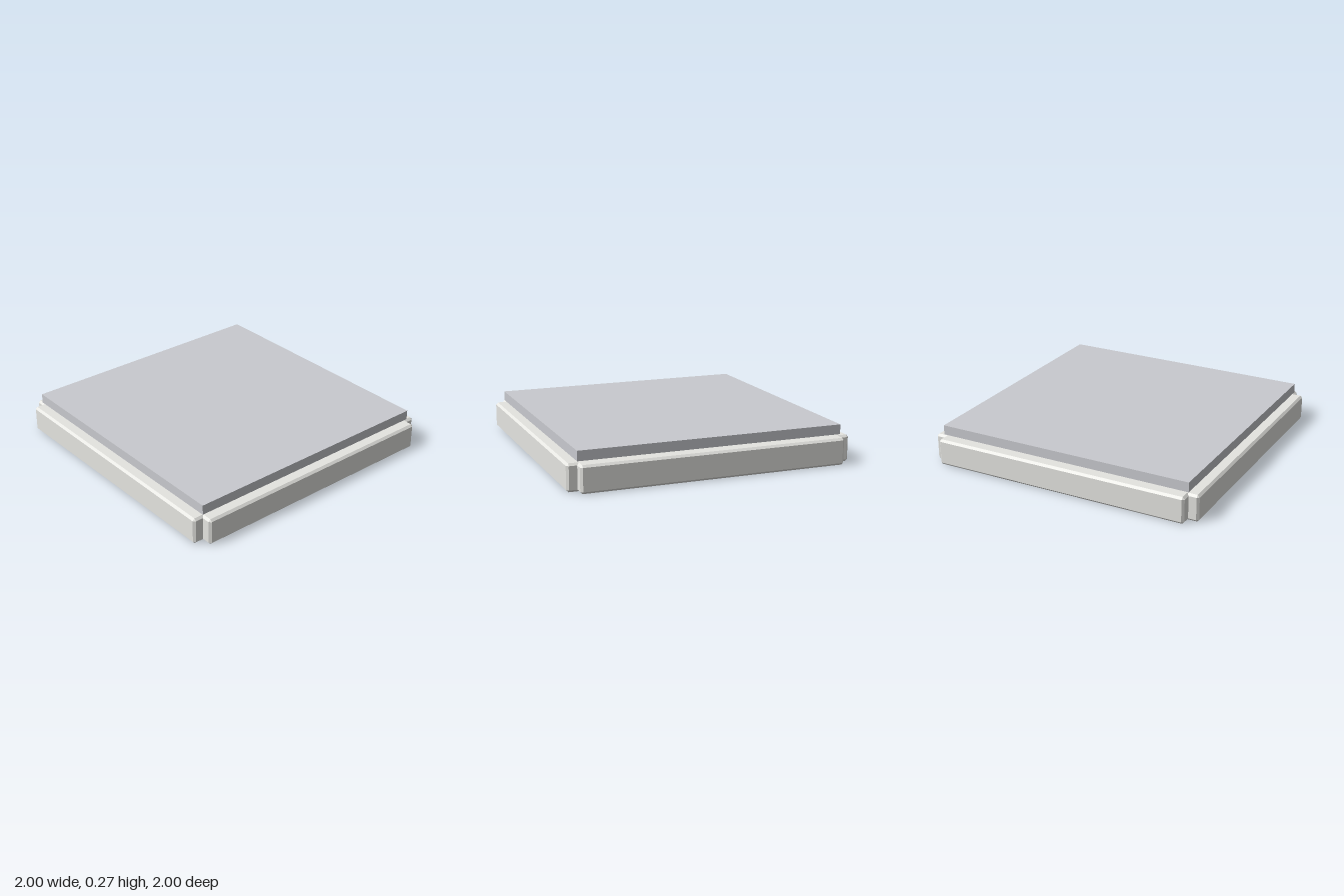
import * as THREE from 'three';
import { ConvexGeometry } from 'three/addons/geometries/ConvexGeometry.js';

const material = (name, color) => {
  const m = new THREE.MeshStandardMaterial({ color });
  m.name = name;
  return m;
};

// Box with every edge chamfered
function chamferedBox(w, h, d, c) {
  const points = [];
  for (const sx of [-1, 1]) for (const sy of [-1, 1]) for (const sz of [-1, 1]) {
    const x = w / 2, y = h / 2, z = d / 2;
    points.push(
      new THREE.Vector3(sx * x, sy * (y - c), sz * (z - c)),
      new THREE.Vector3(sx * (x - c), sy * y, sz * (z - c)),
      new THREE.Vector3(sx * (x - c), sy * (y - c), sz * z));
  }
  return new ConvexGeometry(points);
}

// Flat ring extruded upward from y = 0
function ring(outer, inner, height) {
  const shape = new THREE.Shape().absarc(0, 0, outer, 0, Math.PI * 2, false);
  shape.holes.push(new THREE.Path().absarc(0, 0, inner, 0, Math.PI * 2, true));
  return new THREE.ExtrudeGeometry(shape, { depth: height, bevelEnabled: false, curveSegments: 24 })
    .rotateX(-Math.PI / 2);
}

export function createModel() {
  const model = new THREE.Group();
  model.name = 'floorTile';
  const frameGrey = material('frame grey', 0xe5e5e1);
  const slabGrey = material('slab grey', 0xc9cacf);
  const copper = material('copper', 0xe0a184);

  const add = (parent, name, geometry, mat, x = 0, y = 0, z = 0) => {
    const mesh = new THREE.Mesh(geometry, mat);
    mesh.name = name;
    mesh.position.set(x, y, z);
    parent.add(mesh);
    return mesh;
  };

  // Lattice of three beams each way
  const frame = new THREE.Group();
  frame.name = 'frame';
  model.add(frame);
  const beam = chamferedBox(1.86, 0.187, 0.14, 0.015);
  for (const p of [-0.93, 0, 0.93]) {
    add(frame, 'crossBeam', beam, frameGrey, 0, 0.0935, p);
    add(frame, 'sideBeam', beam, frameGrey, p, 0.0935, 0).rotation.y = Math.PI / 2;
  }

  // Top slab
  add(model, 'topSlab', new THREE.BoxGeometry(1.86, 0.068, 1.86), slabGrey, 0, 0.232, 0);

  // Mount plate, disc and coil under the slab in each cell
  const mount = new THREE.BoxGeometry(0.69, 0.014, 0.69);
  const disc = ring(0.226, 0.037, 0.016);
  const coil = ring(0.241, 0.226, 0.022);
  for (const x of [-0.465, 0.465]) for (const z of [-0.465, 0.465]) {
    const unit = new THREE.Group();
    unit.name = 'coilUnit';
    unit.position.set(x, 0, z);
    model.add(unit);
    add(unit, 'mountPlate', mount, frameGrey, 0, 0.191, 0);
    add(unit, 'coreDisc', disc, frameGrey, 0, 0.168, 0);
    add(unit, 'coil', coil, copper, 0, 0.162, 0);
  }
  return model;
}
